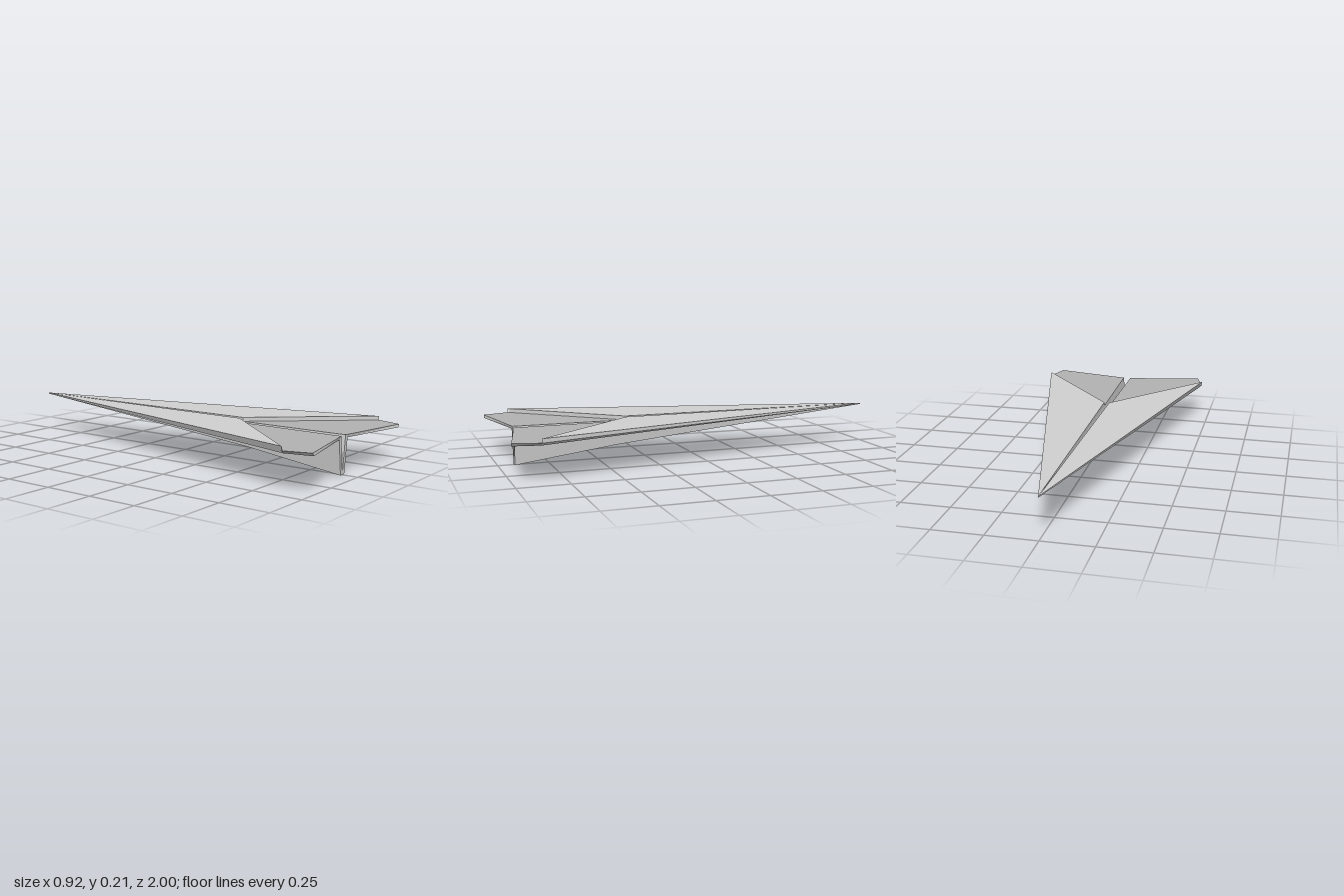
import * as THREE from 'three';

// Corners of the left (+x) half; the right half is mirrored from these
const P = {
  noseTop: [0, 0.207, -1], noseLow: [0, 0.201, -1],
  slotFrontTop: [0.002, 0.207, -0.91], slotFrontLow: [0, 0.198, -0.91],
  foldTop: [0.014, 0.207, 0.35], foldLow: [0.014, 0.187, 0.35],
  tipTop: [0.46, 0.207, 0.87], tipMid: [0.46, 0.187, 0.87], tipLow: [0.447, 0.174, 0.87],
  rearTop: [0.42, 0.187, 1], rearLow: [0.41, 0.172, 1],
  rootTop: [0.02, 0.187, 0.92],
  keelTop: [0.04, 0.172, 0.92], keelTopMid: [0.029, 0.18, 0.4],
  keelLow: [0.018, 0, 0.92], keelLowMid: [0.014, 0.068, 0.4],
  keelCentre: [0, 0, 0.92], keelCentreMid: [0, 0.068, 0.4],
  slotRear: [0, 0.005, 0.92], slotMid: [0, 0.073, 0.4],
};

// Flat polygons, each a loop of corner names, counter-clockwise from outside
function panelGeometry(loops, side) {
  const pos = [];
  for (const loop of loops) {
    const pts = loop.split(' ').map((n) => [P[n][0] * side, P[n][1], P[n][2]]);
    if (side < 0) pts.reverse();
    for (let i = 1; i < pts.length - 1; i++) pos.push(...pts[0], ...pts[i], ...pts[i + 1]);
  }
  const g = new THREE.BufferGeometry();
  g.setAttribute('position', new THREE.Float32BufferAttribute(pos, 3));
  g.computeVertexNormals();
  return g;
}

export function createModel() {
  const paper = new THREE.MeshStandardMaterial({ color: 0xd0d0d0, side: THREE.DoubleSide });
  paper.name = 'lightPaper';
  const shade = new THREE.MeshStandardMaterial({ color: 0xb2b2b2, side: THREE.DoubleSide });
  shade.name = 'greyPaper';

  const parts = [
    // Raised folded layer from the nose to the wing tips
    ['foldedLayer', paper, [
      'noseTop slotFrontTop foldTop tipTop',
      'foldLow tipMid tipTop foldTop',
      'noseLow noseTop tipTop tipMid tipLow',
    ]],
    // Lower layer showing behind the fold
    ['rearWing', shade, [
      'foldLow rootTop rearTop tipMid',
      'rearLow tipLow tipMid rearTop',
    ]],
    ['wingUnderside', paper, [
      'noseLow tipLow rearLow keelTop keelTopMid',
      'keelTop rearLow rearTop rootTop',
    ]],
    // Tapered keel with its open V slot
    ['keel', paper, [
      'keelLow keelLowMid keelTopMid keelTop',
      'keelLowMid noseLow keelTopMid',
      'keelLow keelTop rootTop slotRear keelCentre',
      'keelCentre keelCentreMid keelLowMid keelLow',
      'noseLow keelLowMid keelCentreMid',
    ]],
    ['slotWall', paper, [
      'slotFrontLow slotMid foldLow foldTop slotFrontTop',
      'slotMid slotRear rootTop foldLow',
    ]],
  ];

  const plane = new THREE.Group();
  plane.name = 'paperPlane';
  for (const [label, side] of [['left', 1], ['right', -1]]) {
    const half = new THREE.Group();
    half.name = label + 'Half';
    for (const [name, material, loops] of parts) {
      const mesh = new THREE.Mesh(panelGeometry(loops, side), material);
      mesh.name = name;
      half.add(mesh);
    }
    plane.add(half);
  }
  return plane;
}
